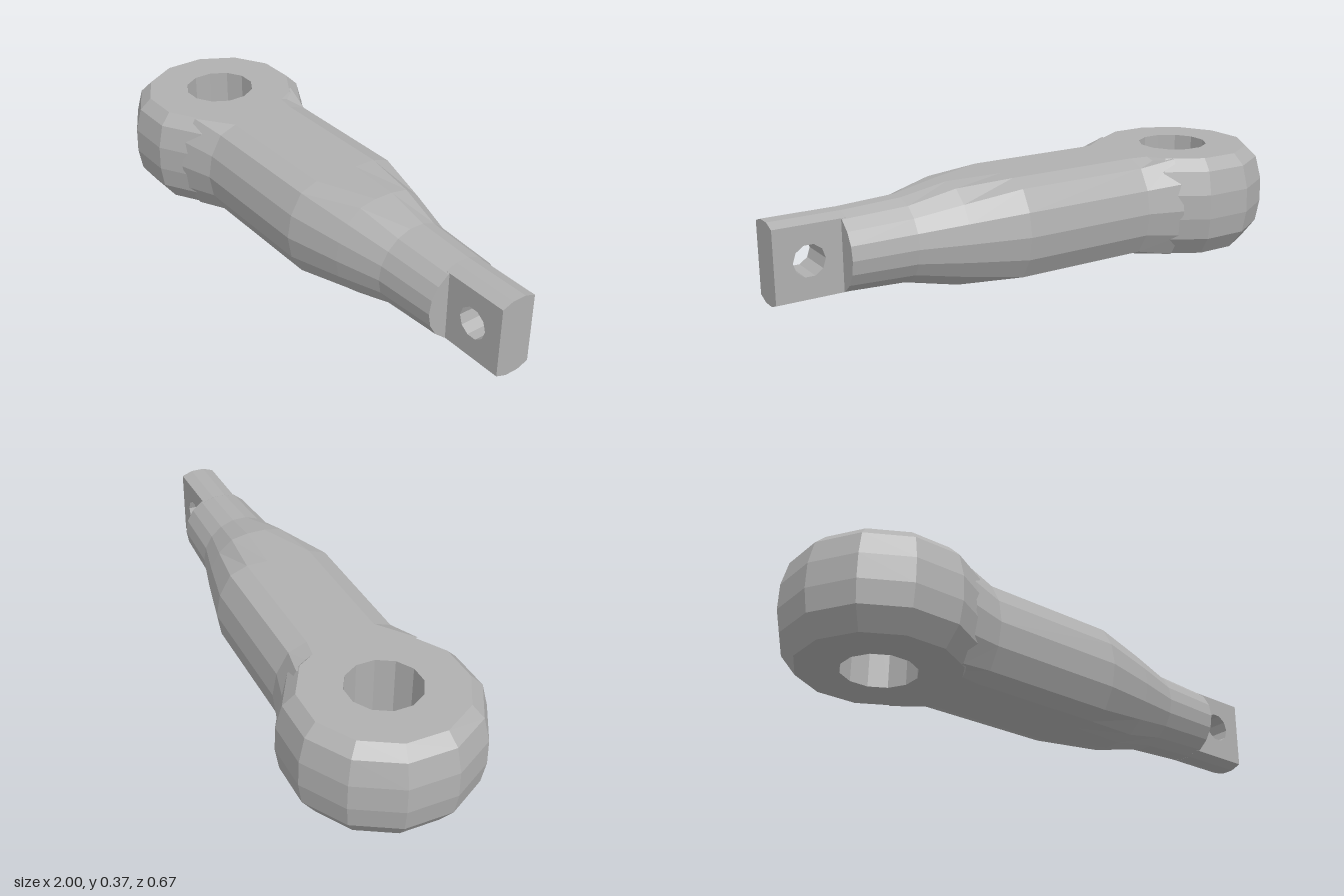
import * as THREE from 'three';

const MID = 0.183; // height of the long axis, also half the thickness

// Round bar along x whose top and bottom are cut flat
function clippedBar(stations, sides) {
  const pos = [], idx = [];
  for (const [x, r] of stations) {
    for (let j = 0; j < sides; j++) {
      const a = (j / sides) * Math.PI * 2;
      const y = THREE.MathUtils.clamp(r * Math.sin(a), -MID, MID);
      pos.push(x, MID + y, r * Math.cos(a));
    }
  }
  for (let i = 0; i < stations.length - 1; i++) {
    for (let j = 0; j < sides; j++) {
      const k = (j + 1) % sides;
      const a = i * sides + j, b = a + sides, c = (i + 1) * sides + k, d = i * sides + k;
      idx.push(a, b, c, a, c, d);
    }
  }
  // Close the narrow end
  const last = (stations.length - 1) * sides;
  const centre = pos.length / 3;
  pos.push(stations[stations.length - 1][0], MID, 0);
  for (let j = 0; j < sides; j++) idx.push(centre, last + ((j + 1) % sides), last + j);
  const g = new THREE.BufferGeometry();
  g.setAttribute('position', new THREE.Float32BufferAttribute(pos, 3));
  g.setIndex(idx);
  g.computeVertexNormals();
  return g;
}

export function createModel() {
  const group = new THREE.Group();
  const grey = new THREE.MeshStandardMaterial({ color: 0xb0b0b0, flatShading: true });
  grey.name = 'grey metal';
  const add = (name, geometry) => {
    const mesh = new THREE.Mesh(geometry, grey);
    mesh.name = name;
    group.add(mesh);
    return mesh;
  };

  // Flattened ball head with a vertical bore
  const profile = [
    [0.13, 0], [0.28, 0], [0.332, 0.07], [0.346, 0.15], [0.344, 0.24],
    [0.322, 0.325], [0.28, 2 * MID], [0.13, 2 * MID], [0.13, 0],
  ].map(([r, y]) => new THREE.Vector2(r, y));
  add('head', new THREE.LatheGeometry(profile, 12, Math.PI / 12)).position.x = -0.666;

  // Shaft, flared into the head and tapering to the tab
  add('shaft', clippedBar([
    [-0.49, 0.287], [-0.36, 0.247], [0.15, 0.247], [0.36, 0.198],
    [0.53, 0.153], [0.765, 0.142],
  ], 18));

  // Tab with a cross hole
  const x0 = 0.75, x1 = 1, half = 0.066, flatY = 0.126;
  const plate = new THREE.Shape([
    new THREE.Vector2(x0, MID - flatY), new THREE.Vector2(x1, MID - flatY),
    new THREE.Vector2(x1, MID + flatY), new THREE.Vector2(x0, MID + flatY),
  ]);
  const hole = new THREE.Path();
  for (let i = 0; i < 10; i++) {
    const a = -(i / 10) * Math.PI * 2;
    const x = 0.88 + 0.056 * Math.cos(a), y = MID + 0.004 + 0.056 * Math.sin(a);
    if (i === 0) hole.moveTo(x, y); else hole.lineTo(x, y);
  }
  hole.closePath();
  plate.holes.push(hole);
  add('tab', new THREE.ExtrudeGeometry(plate, { depth: 2 * half, bevelEnabled: false }))
    .position.z = -half;

  // Rounded upper and lower edges of the tab
  const crown = new THREE.Shape([
    new THREE.Vector2(-half, flatY), new THREE.Vector2(half, flatY),
    new THREE.Vector2(0.025, 0.141), new THREE.Vector2(-0.025, 0.141),
  ]);
  const crownGeo = new THREE.ExtrudeGeometry(crown, { depth: x1 - x0, bevelEnabled: false });
  crownGeo.rotateY(Math.PI / 2);
  for (const [name, turn] of [['tabUpperEdge', 0], ['tabLowerEdge', Math.PI]]) {
    const edge = add(name, crownGeo);
    edge.position.set(x0, MID, 0);
    edge.rotation.x = turn;
  }
  return group;
}
